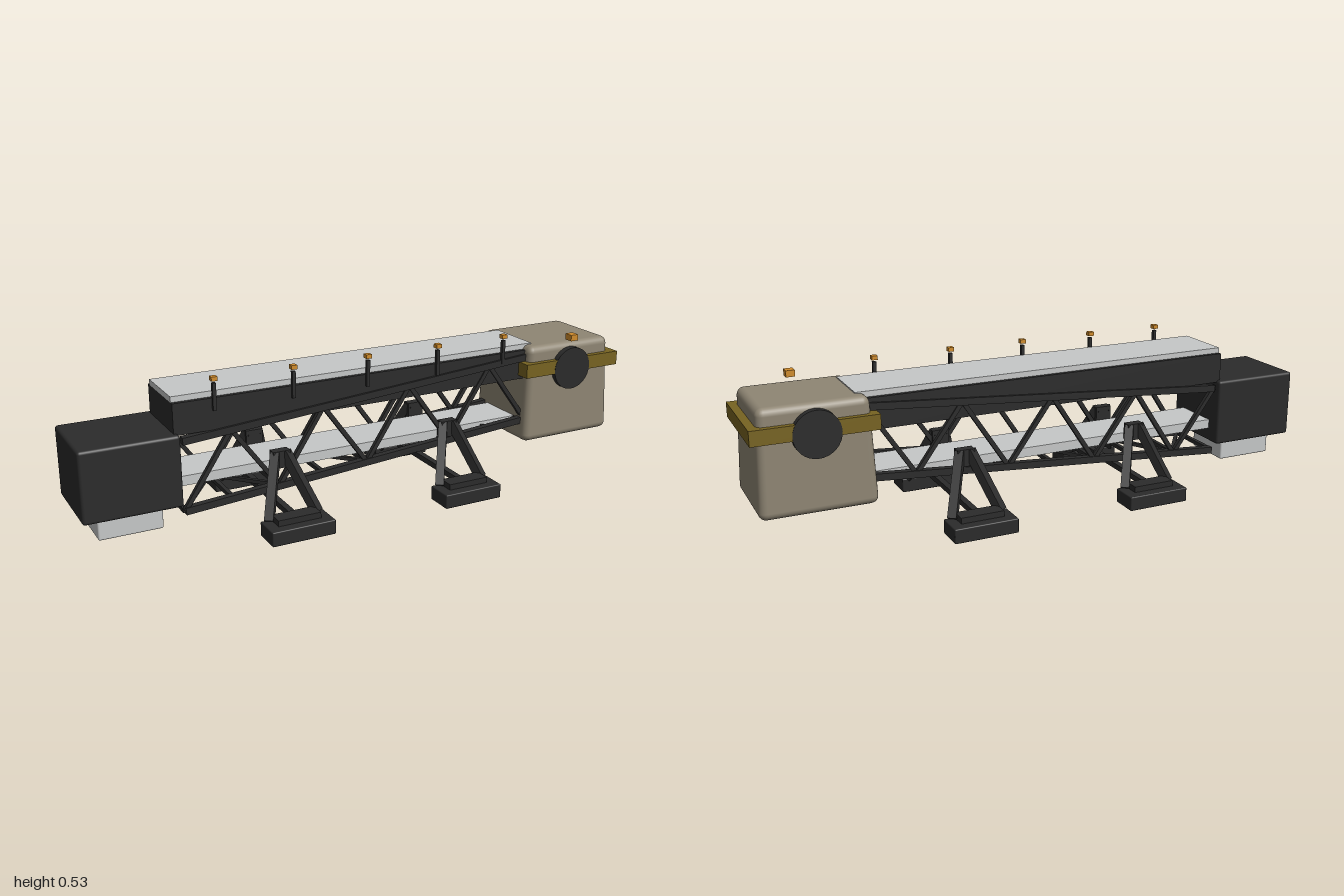
import * as THREE from 'three';
import { RoundedBoxGeometry } from 'three/addons/geometries/RoundedBoxGeometry.js';

const mat = (name, color) => {
  const m = new THREE.MeshStandardMaterial({ color });
  m.name = name;
  return m;
};

export function createModel() {
  const model = new THREE.Group();
  model.name = 'conveyor';
  const dark = mat('dark steel', 0x2b2b2b);
  const light = mat('light grey', 0xc6c8c8);
  const beige = mat('beige housing', 0x8f8674);
  const olive = mat('olive band', 0x776321);
  const amber = mat('amber lamp', 0xd08c2c);

  const add = (parent, name, geo, material) => {
    const m = new THREE.Mesh(geo, material);
    m.name = name;
    parent.add(m);
    return m;
  };
  // box given by its limits on each axis, optionally with rounded edges
  const box = (parent, name, material, x, y, z, r = 0) => {
    const s = [x[1] - x[0], y[1] - y[0], z[1] - z[0]];
    const geo = r ? new RoundedBoxGeometry(...s, 3, r) : new THREE.BoxGeometry(...s);
    const m = add(parent, name, geo, material);
    m.position.set((x[0] + x[1]) / 2, (y[0] + y[1]) / 2, (z[0] + z[1]) / 2);
    return m;
  };
  // square bar between two points
  const bar = (parent, name, a, b, w, h = w) => {
    const p = new THREE.Vector3(...a), q = new THREE.Vector3(...b);
    const m = add(parent, name, new THREE.BoxGeometry(w, h, p.distanceTo(q)), dark);
    m.position.copy(p).add(q).multiplyScalar(0.5);
    m.lookAt(q);
    return m;
  };
  const group = (name) => {
    const g = new THREE.Group();
    g.name = name;
    model.add(g);
    return g;
  };

  // head housing, narrowing towards the top
  const head = group('head');
  const housing = box(head, 'headHousing', beige, [0.605, 0.985], [0.122, 0.475], [-0.161, 0.161], 0.025);
  const pos = housing.geometry.attributes.position;
  for (let i = 0; i < pos.count; i++) {
    const t = (pos.getY(i) + 0.1765) / 0.353;
    pos.setX(i, pos.getX(i) * (1 - 0.075 * t));
    pos.setZ(i, pos.getZ(i) * (1 - 0.08 * t));
  }
  housing.geometry.computeBoundingSphere();
  box(head, 'headBand', olive, [0.595, 1.0], [0.37, 0.42], [-0.17, 0.17]);
  const drum = add(head, 'headDrum', new THREE.CylinderGeometry(0.077, 0.077, 0.342, 32), dark);
  drum.rotation.x = Math.PI / 2;
  drum.position.set(0.795, 0.382, 0);
  box(head, 'headLamp', amber, [0.78, 0.81], [0.485, 0.507], [0.14, 0.173]);

  // tail housing with the tray beneath
  const tail = group('tail');
  box(tail, 'tailHousing', dark, [-1.0, -0.68], [0.124, 0.362], [-0.14, 0.14], 0.01);
  box(tail, 'tailTray', light, [-0.945, -0.735], [0.044, 0.135], [-0.092, 0.092], 0.006);

  // upper deck and both belts
  const deck = group('deck');
  box(deck, 'deckBox', dark, [-0.695, 0.62], [0.355, 0.46], [-0.118, 0.118]);
  box(deck, 'upperBelt', light, [-0.695, 0.655], [0.46, 0.479], [-0.104, 0.104]);
  box(deck, 'returnBelt', light, [-0.69, 0.62], [0.172, 0.205], [-0.085, 0.085]);

  // sloping lattice girder
  const truss = group('truss');
  const panels = 8, x0 = -0.67, x1 = 0.63;
  const px = (i) => x0 + ((x1 - x0) * i) / panels;
  const low = (x) => 0.1 + (x - x0) * 0.077;
  const high = (x) => 0.335 + (x - x0) * 0.077;
  for (const side of [-1, 1]) {
    const z = side * 0.115;
    bar(truss, 'lowerChord', [x0, low(x0), z], [x1, low(x1), z], 0.024);
    bar(truss, 'upperChord', [x0, high(x0), z], [x1, high(x1), z], 0.024);
    for (let i = 0; i < panels; i++) {
      const up = (i % 2 === 0) === (side > 0);
      const a = px(i), b = px(i + 1);
      bar(truss, 'diagonal', [a, up ? low(a) : high(a), z], [b, up ? high(b) : low(b), z], 0.015);
    }
  }
  for (let i = 0; i <= panels; i++) {
    const a = px(i);
    bar(truss, 'crossTie', [a, low(a), -0.115], [a, low(a), 0.115], 0.014);
    if (i === panels) continue;
    const b = px(i + 1), s = i % 2 ? 1 : -1;
    bar(truss, 'floorBrace', [a, low(a), -0.11 * s], [b, low(b), 0.11 * s], 0.013);
  }

  // lamp posts along the left side
  const posts = group('lampPosts');
  for (let i = 0; i < 5; i++) {
    const x = -0.56 + i * 0.27;
    box(posts, 'post', dark, [x - 0.006, x + 0.006], [0.42, 0.51], [0.116, 0.128]);
    box(posts, 'postLamp', amber, [x - 0.01, x + 0.01], [0.517, 0.531], [0.112, 0.132]);
  }

  // splayed A-frame supports on pads
  for (const x of [-0.34, 0.3]) {
    const support = group('support');
    box(support, 'groundBeam', dark, [x - 0.011, x + 0.011], [0.044, 0.064], [-0.22, 0.22]);
    for (const s of [-1, 1]) {
      const span = (a, b) => (s > 0 ? [a, b] : [-b, -a]);
      box(support, 'footPad', dark, [x - 0.111, x + 0.111], [0, 0.05], span(0.2, 0.3), 0.004);
      box(support, 'footPlate', dark, [x - 0.075, x + 0.075], [0.05, 0.07], span(0.208, 0.264));
      for (const d of [-1, 1])
        bar(support, 'leg', [x + d * 0.085, 0.05, s * 0.213], [x + d * 0.017, 0.24, s * 0.117], 0.03);
      box(support, 'legBracket', dark, [x - 0.03, x + 0.03], [0.19, 0.248], span(0.1, 0.132));
    }
  }
  return model;
}
